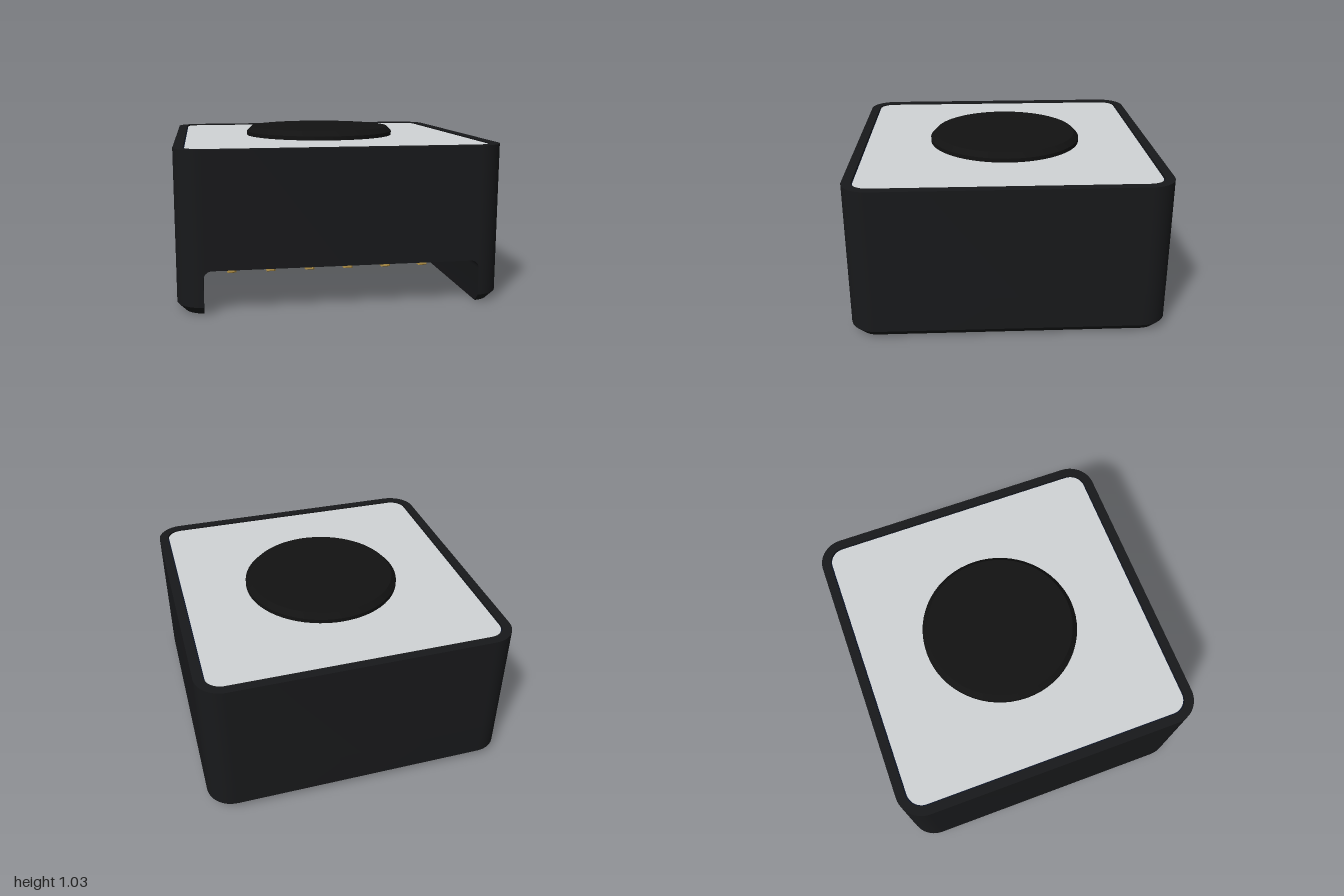
import * as THREE from 'three';
import { toCreasedNormals } from 'three/addons/utils/BufferGeometryUtils.js';

const CORNER = 0.17, CHAMFER = 0.05, ROOF = 0.27, TOP = 0.98;
const POCKET_BACK = -0.37, POCKET_HALF = 0.84, FILLET = 0.05;

const mat = (color) => new THREE.MeshStandardMaterial({ color });
const black = mat(0x18191b), buttonBlack = mat(0x121212), headerBlack = mat(0x202224);
const silver = mat(0xd0d4d6), navy = mat(0x0c1428), gold = mat(0xb8964a);

function add(parent, name, geometry, material) {
  const mesh = new THREE.Mesh(geometry, material);
  mesh.name = name;
  parent.add(mesh);
  return mesh;
}

function roundedSquare(half, r, Type = THREE.Shape) {
  const s = new Type(), c = half - r;
  s.absarc(c, c, r, 0, Math.PI / 2);
  s.absarc(-c, c, r, Math.PI / 2, Math.PI);
  s.absarc(-c, -c, r, Math.PI, Math.PI * 1.5);
  s.absarc(c, -c, r, Math.PI * 1.5, Math.PI * 2);
  s.closePath();
  return s;
}

// Upright slab between two heights
function slab(shape, y0, y1) {
  const g = new THREE.ExtrudeGeometry(shape, { depth: y1 - y0, bevelEnabled: false, curveSegments: 10 });
  g.rotateX(-Math.PI / 2).translate(0, y0, 0);
  return toCreasedNormals(g, 0.5);
}

// U-shaped outline of the skirt at height y: chamfered foot, pocket with filleted top
function skirtLoop(y) {
  const inset = Math.max(0, CHAMFER - y), r = CORNER - inset, c = 1 - CORNER;
  const rise = Math.max(0, y - (ROOF - FILLET));
  const n = POCKET_HALF - FILLET + Math.sqrt(Math.max(0, FILLET * FILLET - rise * rise));
  const pts = [[n, 1 - inset]], steps = 8;
  [[1, 1], [1, -1], [-1, -1], [-1, 1]].forEach(([sx, sz], k) => {
    for (let i = 0; i <= steps; i++) {
      const a = Math.PI / 2 * (1 - k - i / steps);
      let x = sx * c + r * Math.cos(a);
      const z = sz * c + r * Math.sin(a);
      if (z > 0) x = sx * Math.max(Math.abs(x), n);
      pts.push([x, z]);
    }
  });
  pts.push([-n, 1 - inset], [-n, POCKET_BACK], [n, POCKET_BACK]);
  return pts;
}

function skirtGeometry() {
  const levels = [0, CHAMFER, ROOF - FILLET];
  for (let i = 1; i <= 6; i++) levels.push(ROOF - FILLET + FILLET * Math.sin(i / 6 * Math.PI / 2));
  const loops = levels.map(skirtLoop), n = loops[0].length;
  const positions = [], index = [];
  loops.forEach((loop, k) => loop.forEach(([x, z]) => positions.push(x, levels[k], z)));
  for (let k = 0; k < levels.length - 1; k++) {
    for (let i = 0; i < n; i++) {
      const a = k * n + i, b = k * n + (i + 1) % n;
      index.push(a, b, b + n, a, b + n, a + n);
    }
  }
  // Underside
  const outline = loops[0].map(([x, z]) => new THREE.Vector2(x, -z));
  THREE.ShapeUtils.triangulateShape(outline, []).forEach(([a, b, c]) => index.push(a, c, b));
  const g = new THREE.BufferGeometry();
  g.setAttribute('position', new THREE.Float32BufferAttribute(positions, 3));
  g.setIndex(index);
  return toCreasedNormals(g, 0.5);
}

export function createModel() {
  const model = new THREE.Group();
  model.name = 'buttonModule';

  // Housing: open upper shell on a notched skirt
  const shell = roundedSquare(1, CORNER);
  shell.holes.push(roundedSquare(0.94, 0.11, THREE.Path));
  add(model, 'upperShell', slab(shell, ROOF, TOP), black);
  add(model, 'skirt', skirtGeometry(), black);

  // Board filling the shell, with the light face plate on top
  add(model, 'board', slab(roundedSquare(0.94, 0.11), ROOF, 0.965), navy);
  add(model, 'facePlate', slab(roundedSquare(0.932, 0.1), 0.96, 0.974), silver);

  // Round button with a chamfered edge
  const profile = [[0.512, 0.96], [0.512, 1.0], [0.48, 1.033], [0, 1.033]].map(([x, y]) => new THREE.Vector2(x, y));
  const button = add(model, 'button', toCreasedNormals(new THREE.LatheGeometry(profile, 64), 0.4), buttonBlack);
  button.position.z = -0.013;

  // Connector block at the back of the pocket
  const header = add(model, 'connectorBlock', new THREE.BoxGeometry(1.58, ROOF, 0.28), headerBlack);
  header.position.set(0, ROOF / 2, POCKET_BACK + 0.14 - 0.005);

  // Row of square pins with tapered tips
  for (let i = 0; i < 6; i++) {
    const pin = new THREE.Group();
    pin.name = 'pin' + (i + 1);
    pin.position.set(-0.655 + i * 0.26, 0.135, 0);
    add(pin, 'pinBar', new THREE.BoxGeometry(0.06, 0.06, 0.58), gold).position.z = 0.17;
    const taper = new THREE.CylinderGeometry(0.015 * Math.SQRT2, 0.03 * Math.SQRT2, 0.04, 4).toNonIndexed();
    taper.computeVertexNormals();
    taper.rotateY(Math.PI / 4).rotateX(Math.PI / 2);
    add(pin, 'pinTip', taper, gold).position.z = 0.48;
    model.add(pin);
  }
  return model;
}
